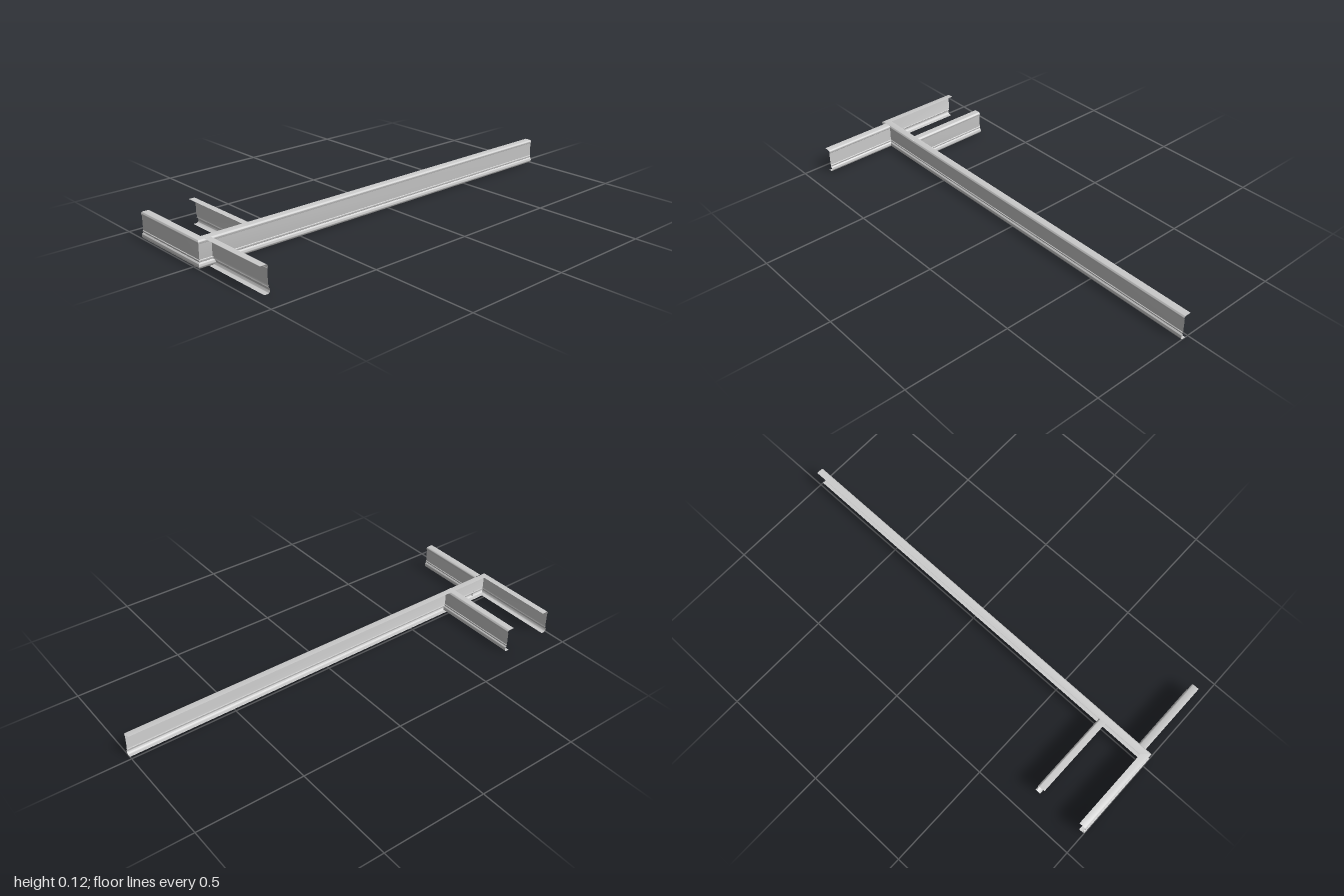
import * as THREE from 'three';
import { toCreasedNormals } from 'three/addons/utils/BufferGeometryUtils.js';

const material = new THREE.MeshStandardMaterial({ color: 0xcccccc, side: THREE.DoubleSide });

// Thin sheet section: x = depth behind the nose, y = height
function sectionPoints() {
  const p = new THREE.Path();
  p.moveTo(0.04, 0.118);                                     // top flange
  p.lineTo(0.014, 0.118);
  p.bezierCurveTo(0.006, 0.118, 0.001, 0.108, 0.008, 0.101); // upper bead
  p.lineTo(0.008, 0.037);                                    // web
  p.lineTo(0.005, 0.035);                                    // small step
  p.lineTo(0.005, 0.031);
  p.lineTo(0.008, 0.026);
  p.bezierCurveTo(0.001, 0.024, 0, 0.016, 0, 0.012);         // lower bead
  p.bezierCurveTo(0, 0.006, 0.004, 0, 0.012, 0);
  p.lineTo(0.026, 0);                                        // bottom flange
  return p.getPoints(8);
}

// Sweep the section along a floor path of [x, z] points, mitred at corners
function sweep(name, path) {
  const section = sectionPoints();
  const pts = path.map(([x, z]) => new THREE.Vector2(x, z));
  const inward = pts.slice(1).map((p, i) => {
    const d = p.clone().sub(pts[i]).normalize();
    return new THREE.Vector2(-d.y, d.x);
  });
  const positions = [];
  const index = [];
  const n = section.length;
  pts.forEach((p, j) => {
    const a = inward[Math.max(j - 1, 0)];
    const b = inward[Math.min(j, inward.length - 1)];
    const m = a.clone().add(b).divideScalar(1 + a.dot(b));
    for (const s of section) positions.push(p.x + m.x * s.x, s.y, p.y + m.y * s.x);
  });
  for (let j = 0; j < pts.length - 1; j++) {
    for (let i = 0; i < n - 1; i++) {
      const a = j * n + i, b = a + n;
      index.push(a, b, a + 1, b, b + 1, a + 1);
    }
  }
  const geometry = new THREE.BufferGeometry();
  geometry.setAttribute('position', new THREE.Float32BufferAttribute(positions, 3));
  geometry.setIndex(index);
  const mesh = new THREE.Mesh(toCreasedNormals(geometry, 0.6), material);
  mesh.name = name;
  return mesh;
}

export function createModel() {
  const group = new THREE.Group();
  group.name = 'railFrame';
  group.add(
    // Long rail turning the corner into the outer back arm
    sweep('mainRailWithCornerArm', [[1, 0.04], [-1, 0.04], [-1, -0.392]]),
    // Straight arms butting against the rail's web
    sweep('backArm', [[-0.727, -0.392], [-0.727, 0.031]]),
    sweep('frontArm', [[-0.924, 0.032], [-0.924, 0.392]]),
  );
  return group;
}
